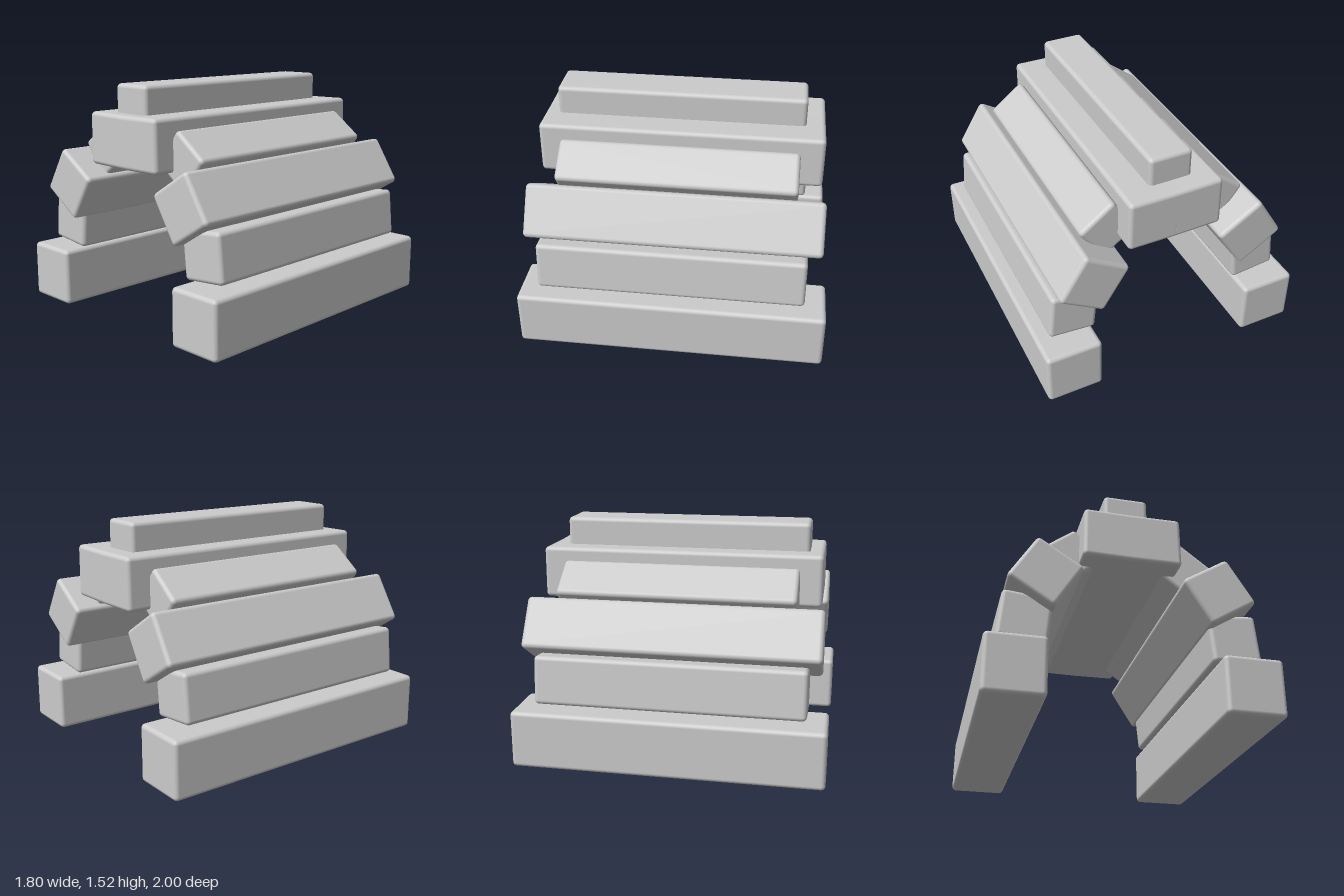
import * as THREE from 'three';
import { RoundedBoxGeometry } from 'three/addons/geometries/RoundedBoxGeometry.js';

const stone = new THREE.MeshStandardMaterial({ color: 0xcccccc });

// One long stone with softly bevelled edges, tilted about the arch axis
function block(name, x, y, z, w, h, length, degrees) {
  const mesh = new THREE.Mesh(new RoundedBoxGeometry(w, h, length, 3, 0.028), stone);
  mesh.name = name;
  mesh.position.set(x, y, z);
  mesh.rotation.z = THREE.MathUtils.degToRad(degrees);
  return mesh;
}

export function createModel() {
  const group = new THREE.Group();
  group.name = 'stoneArch';

  // Stones of one side, from the ground up: name, x, y, z, width, height, length, tilt
  const stones = [
    ['baseStone', 0.713, 0.192, 0, 0.375, 0.375, 2.0, 0],
    ['lowerStone', 0.653, 0.557, 0.005, 0.315, 0.315, 1.73, 5.5],
    ['middleStone', 0.547, 0.835, 0, 0.345, 0.345, 1.9, 32],
    ['upperStone', 0.371, 1.067, 0, 0.288, 0.288, 1.55, -37],
    ['crownStone', 0.145, 1.167, -0.004, 0.34, 0.34, 1.85, 0.7],
  ];
  for (const side of [1, -1]) {
    const prefix = side > 0 ? 'left' : 'right';
    for (const [name, x, y, z, w, h, length, tilt] of stones) {
      const label = prefix + name[0].toUpperCase() + name.slice(1);
      group.add(block(label, side * x, y, z, w, h, length, side * tilt));
    }
  }

  // Keystone, seated slightly off centre and sunk into the crown
  group.add(block('keystone', -0.02, 1.375, 0.012, 0.288, 0.29, 1.63, 0));
  return group;
}
